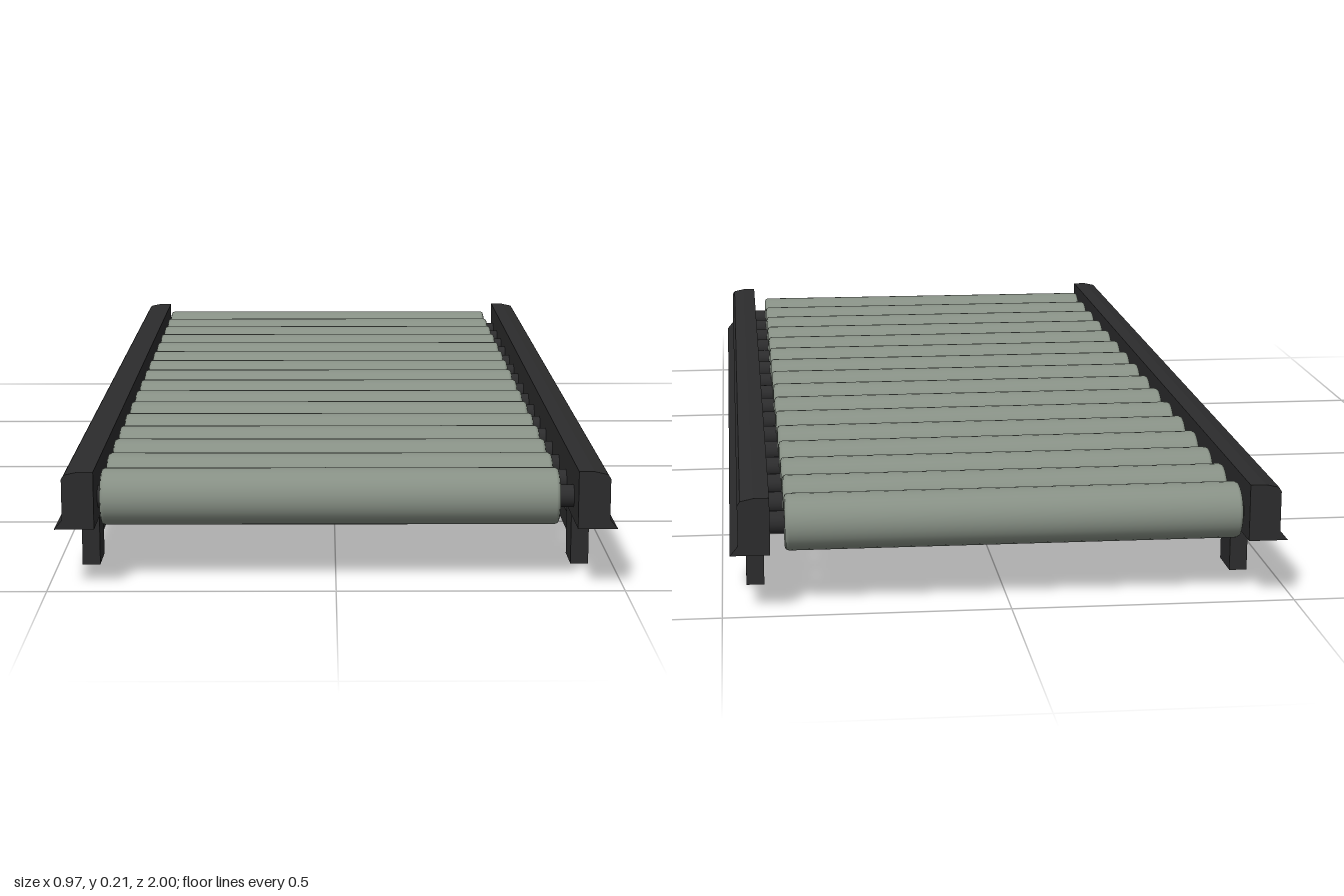
import * as THREE from 'three';

const frameMat = new THREE.MeshStandardMaterial({ color: 0x2c2c2d });
frameMat.name = 'dark frame';
const rollerMat = new THREE.MeshStandardMaterial({ color: 0x879085 });
rollerMat.name = 'grey green roller';

function add(parent, name, geometry, material, x = 0, y = 0, z = 0) {
  const mesh = new THREE.Mesh(geometry, material);
  mesh.name = name;
  mesh.position.set(x, y, z);
  parent.add(mesh);
  return mesh;
}

// Rail section for one side: rounded outer shoulder, flared foot
function railGeometry(side) {
  const points = [
    [0.416, 0.11], [0.485, 0.11], [0.471, 0.127], [0.471, 0.198],
    [0.466, 0.206], [0.443, 0.211], [0.416, 0.211],
  ].map(([x, y]) => new THREE.Vector2(side * x, y));
  const geometry = new THREE.ExtrudeGeometry(new THREE.Shape(points), { depth: 2, bevelEnabled: false });
  return geometry.translate(0, 0, -1);
}

// Closed drum with softened rims, turned around y and laid along x
function rollerGeometry() {
  const half = 0.4, r = 0.05, b = 0.007;
  const profile = [[0, -half], [r - b, -half], [r - b * 0.3, -half + b * 0.3], [r, -half + b],
    [r, half - b], [r - b * 0.3, half - b * 0.3], [r - b, half], [0, half]];
  return new THREE.LatheGeometry(profile.map(([x, y]) => new THREE.Vector2(x, y)), 32).rotateZ(Math.PI / 2);
}

export function createModel() {
  const model = new THREE.Group();
  model.name = 'rollerConveyor';

  // Side frames: rail, two legs and the brace between them
  const leg = new THREE.BoxGeometry(0.032, 0.112, 0.077);
  const brace = new THREE.BoxGeometry(0.026, 0.034, 1.5);
  for (const side of [-1, 1]) {
    const frame = new THREE.Group();
    frame.name = side > 0 ? 'leftFrame' : 'rightFrame';
    add(frame, 'rail', railGeometry(side), frameMat);
    for (const z of [-0.78, 0.78]) add(frame, 'leg', leg, frameMat, side * 0.441, 0.056, z);
    add(frame, 'brace', brace, frameMat, side * 0.441, 0.055, 0);
    model.add(frame);
  }

  // Rollers on their axles
  const drum = rollerGeometry();
  const axle = new THREE.CylinderGeometry(0.02, 0.02, 0.85, 16).rotateZ(Math.PI / 2);
  const count = 16, first = -0.936, step = 0.1236;
  for (let i = 0; i < count; i++) {
    const roller = new THREE.Group();
    roller.name = 'roller';
    roller.position.set(0, 0.15, first + i * step);
    add(roller, 'drum', drum, rollerMat, -0.01);
    add(roller, 'axle', axle, frameMat);
    model.add(roller);
  }
  return model;
}
